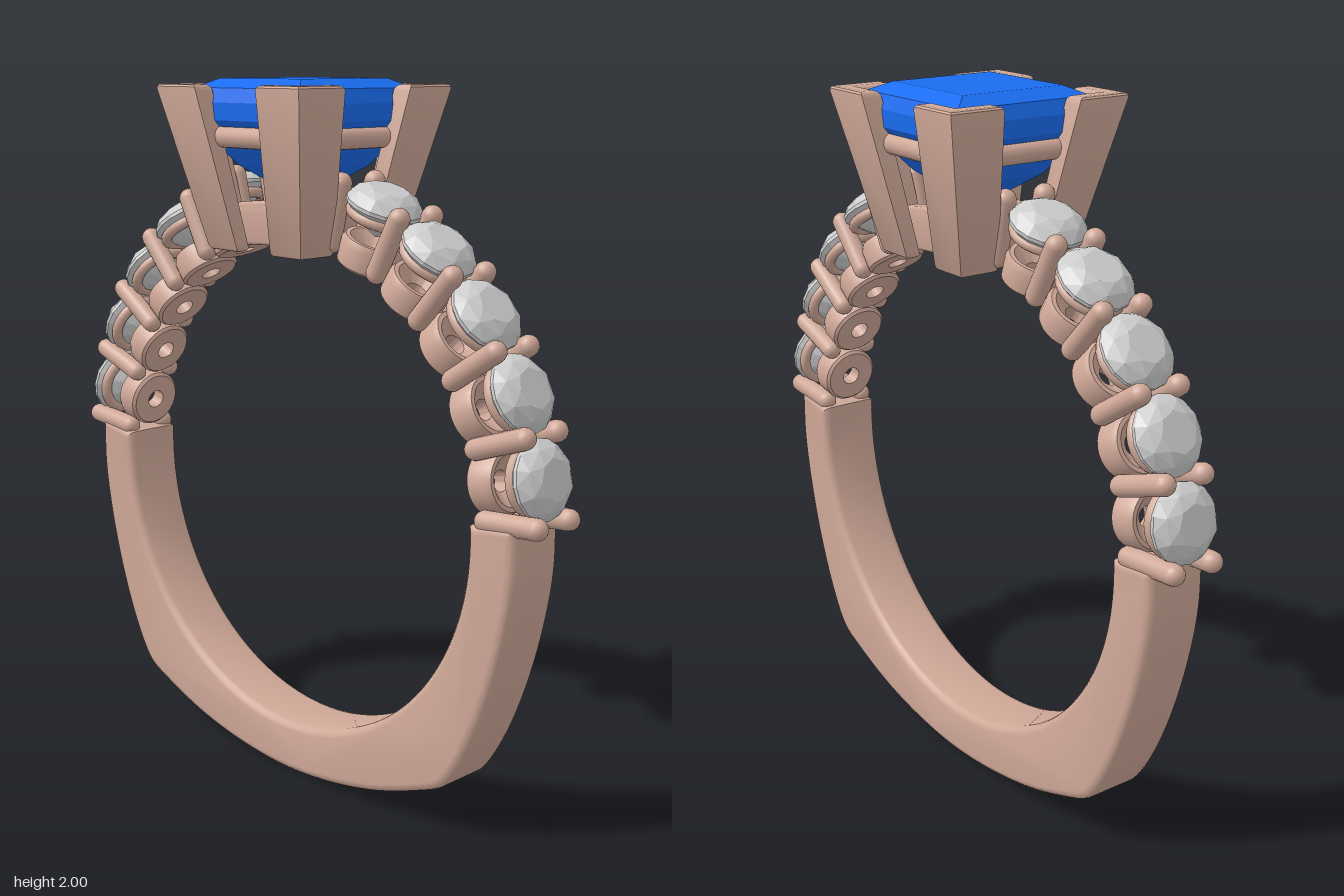
import * as THREE from 'three';
import { toCreasedNormals } from 'three/addons/utils/BufferGeometryUtils.js';
import { ConvexGeometry } from 'three/addons/geometries/ConvexGeometry.js';

const CY = 0.855;      // centre height of the finger hole
const INNER = 0.70;    // finger hole radius
const rad = THREE.MathUtils.degToRad;

const metal = new THREE.MeshStandardMaterial({ color: 0xcfa898 });
const blue = new THREE.MeshStandardMaterial({ color: 0x1a6cf0, flatShading: true });
const clear = new THREE.MeshStandardMaterial({ color: 0xcccccc, flatShading: true });

function add(parent, name, geometry, material = metal) {
  const mesh = new THREE.Mesh(geometry, material);
  mesh.name = name;
  parent.add(mesh);
  return mesh;
}

// Extrude a shape to z = z0..z1 with softly rounded edges
function slab(shape, z0, z1, bevel) {
  const geo = new THREE.ExtrudeGeometry(shape, {
    depth: z1 - z0 - 2 * bevel, bevelEnabled: true, bevelSize: bevel, bevelThickness: bevel,
    bevelOffset: -bevel, bevelSegments: 3, curveSegments: 64,
  });
  geo.translate(0, 0, z0 + bevel);
  return toCreasedNormals(geo, 0.6);
}

// Faceted stone from rings: [radius, height, sides, turn]
function facetedStone(rings) {
  const points = [];
  for (const [r, y, n, turn] of rings) {
    for (let i = 0; i < n; i++) {
      const a = (i / n) * Math.PI * 2 + turn;
      points.push(new THREE.Vector3(r * Math.cos(a), y, r * Math.sin(a)));
    }
  }
  return new ConvexGeometry(points);
}

// Plain lower band: shouldered outside, round inside
function shankGeometry() {
  const right = [[0.847, 0.925], [0.846, 0.78], [0.82, 0.62], [0.77, 0.44], [0.71, 0.29], [0.65, 0.185],
    [0.615, 0.15], [0.54, 0.115], [0.38, 0.058], [0.2, 0.02], [0, 0.004]];
  const left = right.slice(0, -1).reverse().map(([x, y]) => [-x, y]);
  const curve = new THREE.CatmullRomCurve3([...right, ...left].map(([x, y]) => new THREE.Vector3(x, y, 0)));
  const shape = new THREE.Shape(curve.getPoints(120).map((p) => new THREE.Vector2(p.x, p.y)));
  shape.absarc(0, CY, INNER, rad(176), rad(364), false);
  return slab(shape, -0.093, 0.093, 0.022);
}

// Corner claw: L-shaped section that narrows and leans inward toward the foot
function clawGeometry() {
  const o = 0.286, i = 0.226, e = 0.122;
  const shape = new THREE.Shape([[o, o], [e, o], [e, i], [i, i], [i, e], [o, e]].map(([x, y]) => new THREE.Vector2(x, y)));
  const bevel = 0.014, y0 = 1.535, y1 = 1.985;
  const geo = new THREE.ExtrudeGeometry(shape, {
    depth: y1 - y0 - 2 * bevel, bevelEnabled: true, bevelSize: bevel, bevelThickness: bevel,
    bevelOffset: -bevel, bevelSegments: 3,
  });
  const pos = geo.attributes.position;
  for (let n = 0; n < pos.count; n++) {
    const t = (pos.getZ(n) + bevel) / (y1 - y0);
    const k = 0.72 + 0.28 * t, outer = 0.185 + (o - 0.185) * t;
    pos.setX(n, outer - (o - pos.getX(n)) * k);
    pos.setY(n, outer - (o - pos.getY(n)) * k);
  }
  geo.rotateX(-Math.PI / 2);
  geo.translate(0, y0 + bevel, 0);
  return toCreasedNormals(geo, 0.6);
}

export function createModel() {
  const ring = new THREE.Group();
  ring.name = 'gemRing';
  add(ring, 'shank', shankGeometry());

  // Shared parts of the stone-set shoulders; local +y points away from the finger
  const stoneGeo = facetedStone([
    [0.055, 0.925, 8, 0], [0.085, 0.91, 8, Math.PI / 8], [0.105, 0.884, 16, 0],
    [0.105, 0.874, 16, 0], [0.055, 0.825, 8, Math.PI / 8], [0.006, 0.79, 8, 0],
  ]);
  const collarProfile = [[0.028, 0.70], [0.078, 0.70], [0.086, 0.708], [0.088, 0.765], [0.08, 0.782],
    [0.068, 0.782], [0.028, 0.745], [0.028, 0.70]].map(([x, y]) => new THREE.Vector2(x, y));
  const collarGeo = toCreasedNormals(new THREE.LatheGeometry(collarProfile, 32), 0.7);
  const seatGeo = new THREE.TorusGeometry(0.083, 0.016, 10, 32).rotateX(Math.PI / 2).translate(0, 0.85, 0);
  const prongGeo = new THREE.CapsuleGeometry(0.029, 0.165, 6, 16).translate(0, 0.82, 0);

  for (const side of [1, -1]) {
    const shoulder = new THREE.Group();
    shoulder.name = side > 0 ? 'leftShoulder' : 'rightShoulder';
    shoulder.position.y = CY;
    ring.add(shoulder);
    for (let i = 0; i < 6; i++) {
      const place = (mesh, deg) => { mesh.rotation.z = side * rad(deg - 90); };
      const at = 4.9 + i * 14.3;
      for (const z of [-0.063, 0.063]) {
        const prong = add(shoulder, 'sidePronged', prongGeo);
        prong.name = 'sideProng';
        prong.position.z = z;
        place(prong, at);
      }
      if (i === 5) break;
      place(add(shoulder, 'sideStone', stoneGeo, clear), at + 7.15);
      place(add(shoulder, 'stoneCollar', collarGeo), at + 7.15);
      place(add(shoulder, 'stoneSeat', seatGeo), at + 7.15);
    }
  }

  // Head: open arched base, four claws and a square rail
  const head = new THREE.Group();
  head.name = 'head';
  ring.add(head);

  const arch = new THREE.Shape();
  arch.absarc(0, CY, 0.82, rad(76), rad(104), false);
  arch.absarc(0, CY, INNER, rad(104), rad(76), true);
  add(head, 'baseArchFront', slab(arch, 0.075, 0.135, 0.008));
  add(head, 'baseArchBack', slab(arch, -0.135, -0.075, 0.008));
  for (const s of [1, -1]) {
    const bar = add(head, 'baseCrossbar', new THREE.BoxGeometry(0.06, 0.1, 0.2));
    bar.position.set(s * 0.135, 1.6, 0);
    bar.rotation.z = -s * 0.17;
  }

  const clawGeo = clawGeometry();
  const railGeo = new THREE.CylinderGeometry(0.029, 0.029, 0.4, 16).rotateZ(Math.PI / 2).translate(0, 1.846, 0.2);
  for (let q = 0; q < 4; q++) {
    add(head, 'claw', clawGeo).rotation.y = q * Math.PI / 2;
    add(head, 'rail', railGeo).rotation.y = q * Math.PI / 2;
  }

  // Square centre stone: table, crown, girdle and stepped pavilion
  const d = Math.SQRT2, t = Math.PI / 4;
  add(head, 'centreStone', facetedStone([
    [0.16 * d, 2.0, 4, t], [0.212 * d, 1.975, 4, t], [0.226 * d, 1.937, 4, t], [0.224 * d, 1.89, 4, t],
    [0.125 * d, 1.765, 4, t], [0.004, 1.67, 4, t],
  ]), blue);

  return ring;
}
